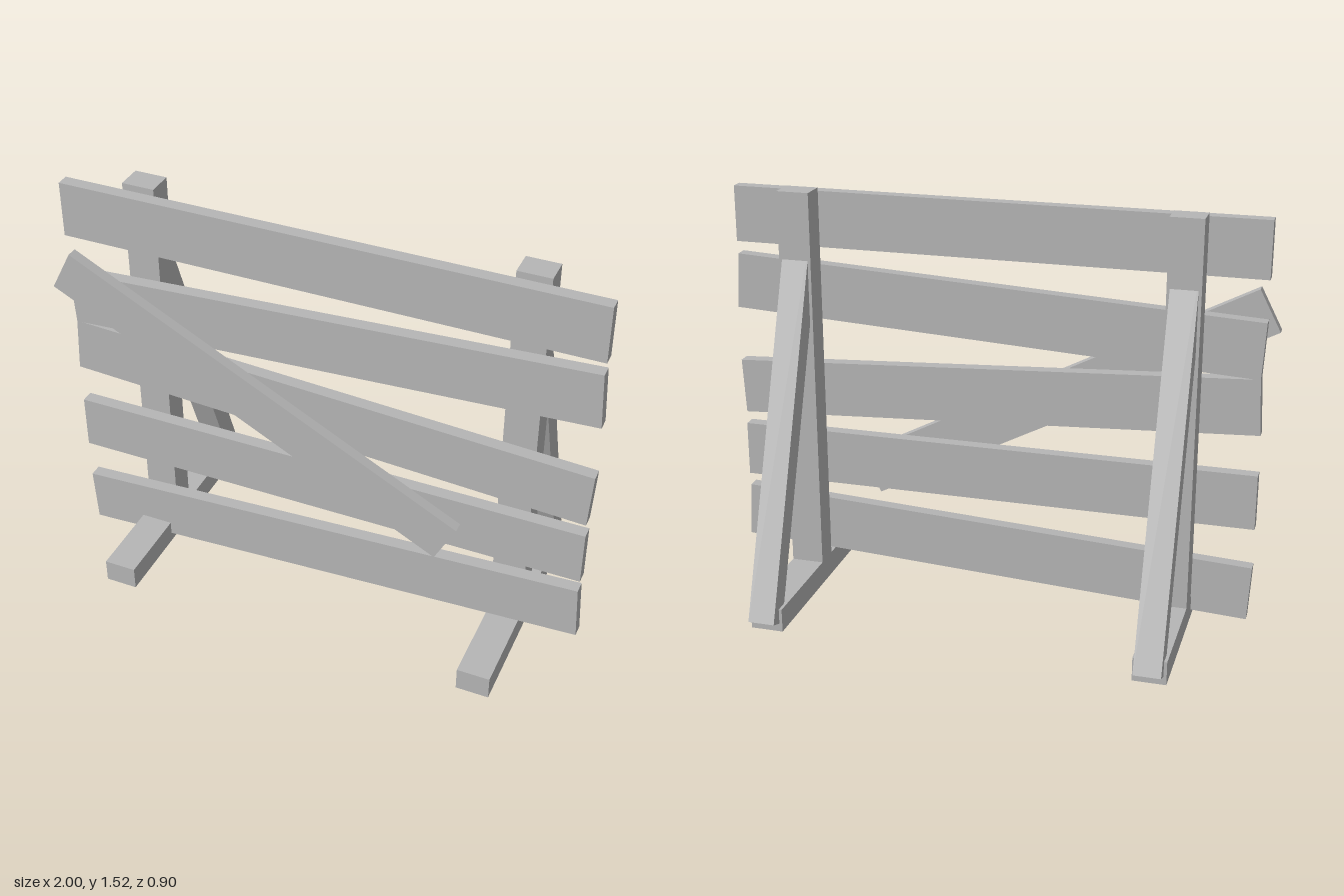
import * as THREE from 'three';

export function createModel() {
  const group = new THREE.Group();
  const wood = new THREE.MeshStandardMaterial({ color: 0xb5b5b5 });
  wood.name = 'grey wood';

  function beam(name, size, pos, rotX = 0, rotZ = 0) {
    const mesh = new THREE.Mesh(new THREE.BoxGeometry(...size), wood);
    mesh.name = name;
    mesh.position.set(...pos);
    mesh.rotation.set(rotX, 0, rotZ);
    group.add(mesh);
  }

  // Two supports: foot, upright post and slanted rear brace
  for (const [side, x] of [['right', -0.685], ['left', 0.718]]) {
    beam(side + 'Foot', [0.12, 0.088, 0.853], [x, 0.044, 0.027]);
    beam(side + 'Post', [0.12, 1.525, 0.095], [x, 0.7625, 0.0535]);
    beam(side + 'Brace', [0.098, 1.401, 0.082], [x, 0.692, -0.168], 0.356);
  }

  // Horizontal planks, some nailed on crooked: [centre x, centre y, tilt]
  const tilt = 0.054;
  const planks = [
    [0.015, 1.406, 0],
    [0.019, 1.1, tilt],
    [0.019, 0.79, -tilt],
    [0.015, 0.482, 0],
    [0.019, 0.175, tilt],
  ];
  planks.forEach(([x, y, angle], i) =>
    beam('plank' + (i + 1), [1.948, 0.207, 0.047], [x, y, 0.138], 0, angle));

  // Diagonal plank across the front
  beam('diagonalPlank', [1.657, 0.168, 0.041], [-0.2275, 0.7975, 0.184], 0, -0.48);

  return group;
}
